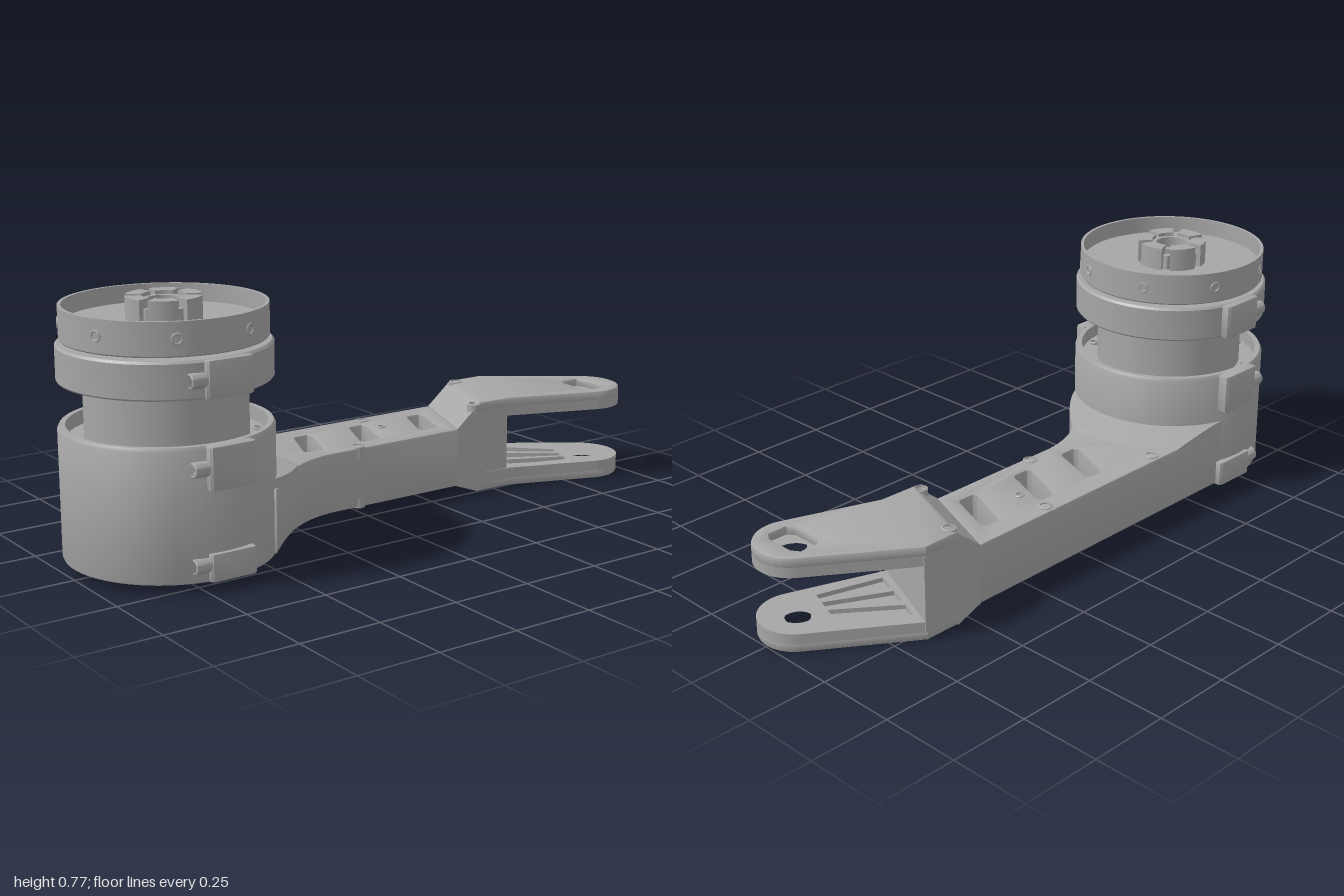
import * as THREE from 'three';
import { toCreasedNormals } from 'three/addons/utils/BufferGeometryUtils.js';

const CZ = 0.695; // z of the joint axis
const TIP = 0.885; // distance of the fork axis behind the origin
const W = 0.295; // arm width
const SKEW = 0.373; // slant of the ramp and slots

export function createModel() {
  const model = new THREE.Group();
  const metal = new THREE.MeshStandardMaterial({ color: 0xa6a6a6 });
  metal.name = 'metal grey';

  const add = (name, geo, x = 0, y = 0, z = 0) => {
    const mesh = new THREE.Mesh(toCreasedNormals(geo, 0.55), metal);
    mesh.name = name;
    mesh.position.set(x, y, z);
    model.add(mesh);
    return mesh;
  };
  const lathe = (pts, seg = 72) => new THREE.LatheGeometry(pts.map(p => new THREE.Vector2(...p)), seg);
  const poly = (pts, Type = THREE.Shape) => new Type(pts.map(p => new THREE.Vector2(...p)));
  // Flat shape in (x, -z), raised from y0 to y1
  const slab = (shape, y0, y1, bevel = 0) => new THREE.ExtrudeGeometry(shape, {
    depth: y1 - y0 - 2 * bevel, bevelEnabled: bevel > 0, bevelSize: bevel, bevelThickness: bevel,
    bevelOffset: -bevel, bevelSegments: 2, curveSegments: 24,
  }).translate(0, 0, y0 + bevel).rotateX(-Math.PI / 2);
  const circle = (r, y) => new THREE.Path().absarc(0, y, r, 0, Math.PI * 2, true);
  // Moves the vertices of a box by a rule
  const warp = (geo, rule) => {
    const p = geo.attributes.position;
    for (let i = 0; i < p.count; i++) p.setXYZ(i, ...rule(p.getX(i), p.getY(i), p.getZ(i)));
    return geo;
  };
  // Screw head with a socket, pointing up
  const screw = r => lathe([[r, -0.03], [r, 0.002], [r * 0.85, 0.004], [r * 0.75, 0.004], [r * 0.75, -0.004],
    [r * 0.45, -0.004], [r * 0.4, -0.015], [0, -0.015]], 20);

  // Lower housing, open below, with the neck rising from a recessed floor
  add('housing', lathe([[0, 0.2], [0.285, 0.2], [0.285, 0.03], [0.303, 0.03], [0.305, 0.035], [0.305, 0.402],
    [0.299, 0.412], [0.283, 0.412], [0.283, 0.37], [0.232, 0.37], [0.232, 0.545]]), 0, 0, CZ);
  // Clamp ring and the open drum above it
  add('clampRing', lathe([[0.23, 0.54], [0.3, 0.54], [0.304, 0.545], [0.304, 0.64], [0.298, 0.647], [0.238, 0.647]]), 0, 0, CZ);
  add('drum', lathe([[0.238, 0.64], [0.238, 0.655], [0.289, 0.655], [0.292, 0.659], [0.292, 0.752], [0.282, 0.752],
    [0.282, 0.7], [0, 0.7]]), 0, 0, CZ);

  // Output hub: a collar with segments around it
  add('hubCollar', lathe([[0.07, 0.69], [0.07, 0.76], [0.05, 0.76], [0.05, 0.7]], 32), 0, 0, CZ);
  for (let i = 0; i < 6; i++) {
    const a = i * Math.PI / 3 + 0.12, b = a + 0.8;
    const s = new THREE.Shape();
    s.absarc(0, 0, 0.108, a, b, false);
    s.absarc(0, 0, 0.062, b, a, true);
    add('hubSegment', slab(s, 0.695, 0.771), 0, 0, CZ);
    add('hubPin', new THREE.CylinderGeometry(0.012, 0.012, 0.05, 12),
      0.085 * Math.cos(a - 0.12), 0.72, CZ + 0.085 * Math.sin(a - 0.12));
  }

  // Motor parts inside the bottom opening
  add('motorPlate', new THREE.CylinderGeometry(0.23, 0.23, 0.03, 48), 0, 0.187, CZ);
  add('motorHub', lathe([[0.04, 0.18], [0.04, 0.11], [0.09, 0.11], [0.09, 0.18]], 32), 0, 0, CZ);
  for (let i = 0; i < 8; i++) {
    const a = (i + 0.5) * Math.PI / 4, c = Math.cos(a), s = Math.sin(a);
    add('motorBolt', new THREE.CylinderGeometry(0.018, 0.018, 0.03, 12), 0.15 * c, 0.16, CZ + 0.15 * s);
    add('floorBolt', screw(0.015), 0.258 * c, 0.374, CZ + 0.258 * s);
    const port = add('drumPort', new THREE.TorusGeometry(0.014, 0.004, 6, 16), 0.291 * c, 0.705, CZ + 0.291 * s);
    port.rotation.y = Math.PI / 2 - a;
  }

  // Clamp lugs with their screws on both sides: y0, y1, reach, screw x, screw y
  for (const side of [-1, 1]) {
    for (const [y0, y1, reach, sx, sy] of [[0.03, 0.11, 0.317, 0.293, 0.078], [0.288, 0.412, 0.325, 0.299, 0.35],
      [0.54, 0.646, 0.317, 0.293, 0.592]]) {
      const lug = poly([[0.288, -0.745], [reach - 0.006, -0.745], [reach, -0.739], [reach, -0.61], [reach - 0.006, -0.6], [0.288, -0.6]]);
      const geo = slab(lug, y0, y1, 0.004);
      if (side < 0) geo.rotateZ(Math.PI).translate(0, y0 + y1, 0);
      add('clampLug', geo);
      const head = screw(0.022);
      add('clampScrew', head, side * sx, sy, 0.785).rotation.x = Math.PI / 2;
      add('screwBoss', new THREE.CylinderGeometry(0.022, 0.022, 0.07, 20), side * sx, sy, 0.73).rotation.x = Math.PI / 2;
    }
  }

  // Arm beam with three slanted through slots, wrapped around the housing
  const beam = new THREE.Shape();
  beam.moveTo(-W, 0.35 + W * SKEW);
  beam.lineTo(-W, -CZ);
  beam.absarc(0, -CZ, 0.296, Math.PI, Math.PI / 4, true);
  beam.lineTo(0.222, -0.476);
  beam.bezierCurveTo(0.1, -0.36, 0.005, -0.27, 0, -0.12);
  beam.lineTo(0, 0.35);
  beam.closePath();
  for (const z of [-0.31, -0.08, 0.13]) {
    beam.holes.push(poly([[-0.225, -z + 0.015], [-0.225, -z + 0.055], [-0.212, -z + 0.064], [-0.066, -z + 0.01],
      [-0.058, -z], [-0.058, -z - 0.05], [-0.07, -z - 0.058], [-0.215, -z + 0.002]], THREE.Path));
  }
  add('armBeam', slab(beam, 0.033, 0.222, 0.006));

  // Flared collar where the beam meets the housing
  add('armFlare', warp(new THREE.BoxGeometry(1, 1, 1, 20, 1, 6), (x, y, z) => {
    const t = 0.5 - z, r = 0.3 + 0.12 * t;
    const left = -Math.asin(Math.min(1, W / r)), right = (45 - 58 * t + 17.5 * t * t) * Math.PI / 180;
    const a = left + (right - left) * (x + 0.5);
    return [r * Math.sin(a), y > 0 ? 0.252 - 0.031 * t : 0.15, CZ - r * Math.cos(a)];
  }));

  // Slanted ramp from the beam to the thicker fork
  add('armRamp', warp(new THREE.BoxGeometry(1, 1, 1), (x, y, z) => {
    const px = (x - 0.5) * W, far = z < 0;
    return [px, y > 0 ? (far ? 0.295 : 0.222) : (far ? 0 : 0.033), (far ? -0.44 : -0.35) + px * SKEW];
  }));

  // Fork root and the two fork plates
  add('forkRoot', slab(poly([[0, 0.44], [0, 0.555], [-W, 0.672], [-W, 0.55]]), 0.03, 0.265));
  const forkShape = (...holes) => {
    const s = new THREE.Shape();
    s.moveTo(0, 0.44);
    s.lineTo(-W, 0.55);
    s.lineTo(-W, 0.665);
    s.absarc(0, TIP, 0.115, 2.518, -0.337, true);
    s.lineTo(0.004, 0.56);
    s.closePath();
    s.holes.push(...holes);
    return s;
  };
  // Pockets between the ribs on the inner faces
  const mix = (a, b, t) => [a[0] + (b[0] - a[0]) * t, a[1] + (b[1] - a[1]) * t];
  const pockets = [0, 1, 2].map(i => {
    const t0 = i / 3 + 0.05, t1 = (i + 1) / 3 - 0.05;
    const root = t => mix([-0.25, 0.67], [-0.01, 0.585], t), end = t => mix([-0.085, 0.83], [0.045, 0.785], t);
    return poly([root(t0), root(t1), end(t1), end(t0)], THREE.Path);
  });
  const keyed = poly([[-0.068, TIP - 0.03], [-0.045, TIP - 0.045], [0.045, TIP - 0.045], [0.068, TIP - 0.03],
    [0.068, TIP + 0.03], [0.045, TIP + 0.045], [-0.045, TIP + 0.045], [-0.068, TIP + 0.03]], THREE.Path);
  add('lowerForkOuter', slab(forkShape(circle(0.055, TIP)), 0, 0.036, 0.009));
  add('lowerForkPlate', slab(forkShape(circle(0.037, TIP)), 0.026, 0.046));
  add('lowerForkRibs', slab(forkShape(circle(0.055, TIP), ...pockets), 0.046, 0.06));
  add('upperForkOuter', slab(forkShape(keyed), 0.259, 0.297, 0.009));
  add('upperForkPlate', slab(forkShape(circle(0.037, TIP)), 0.25, 0.27));
  add('upperForkRibs', slab(forkShape(circle(0.055, TIP), ...pockets), 0.236, 0.25));

  // Screws along the top and bottom of the arm: x, y, z
  for (const [x, y, z] of [[-0.265, 0.297, -0.55], [-0.018, 0.288, -0.43], [-0.265, 0.222, -0.165],
    [-0.018, 0.222, 0.025], [-0.265, 0.222, 0.31], [0.035, 0.23, 0.335]]) {
    add('armScrew', screw(0.022), x, y, z);
    if (z > -0.4) add('armScrewUnder', screw(0.022), x, 0.033, z).rotation.x = Math.PI;
  }
  add('armPin', screw(0.015), -0.162, 0.222, -0.168);

  return model;
}
